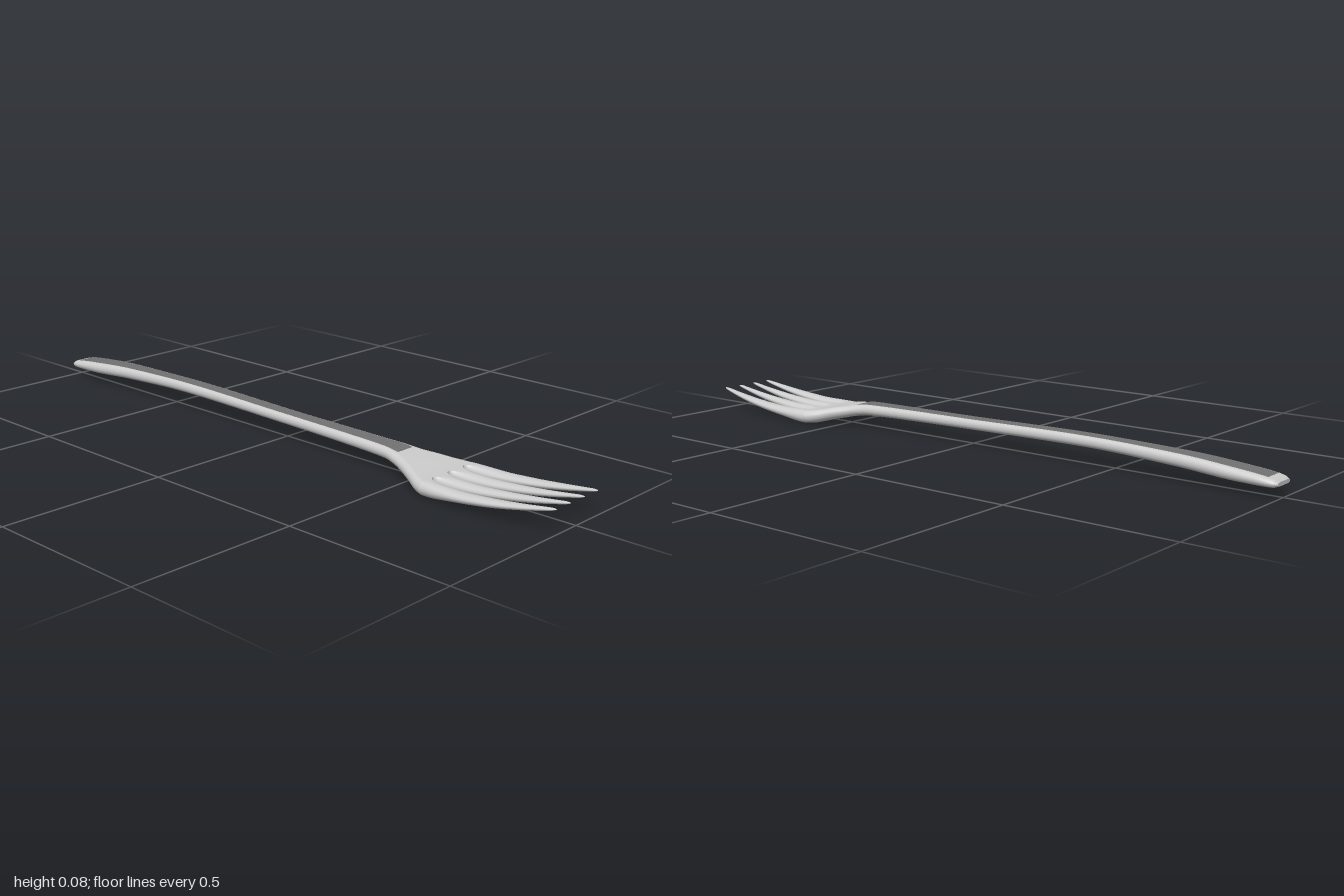
import * as THREE from 'three';

const metal = new THREE.MeshStandardMaterial({ color: 0xcccccc });
const dark = new THREE.MeshStandardMaterial({ color: 0x727272 });

// Smooth monotone interpolation through [z, value] pairs
function profile(pts) {
  const d = pts.slice(1).map((p, i) => (p[1] - pts[i][1]) / (p[0] - pts[i][0]));
  const m = pts.map((p, i) => {
    if (i === 0) return d[0];
    if (i === pts.length - 1) return d[i - 1];
    return d[i - 1] * d[i] <= 0 ? 0 : (2 * d[i - 1] * d[i]) / (d[i - 1] + d[i]);
  });
  return (z) => {
    let i = 0;
    while (i < pts.length - 2 && z > pts[i + 1][0]) i++;
    const h = pts[i + 1][0] - pts[i][0], t = (z - pts[i][0]) / h, s = 1 - t;
    return pts[i][1] * (1 + 2 * t) * s * s + m[i] * h * t * s * s
      + pts[i + 1][1] * t * t * (3 - 2 * t) - m[i + 1] * h * t * t * s;
  };
}

// Side profile: upper and lower surfaces
const topY = profile([[-1, 0.045], [-0.985, 0.052], [-0.9, 0.063], [-0.7, 0.077], [-0.4, 0.083],
  [0, 0.077], [0.4, 0.072], [0.5, 0.059], [0.6, 0.042], [0.7, 0.041], [0.8, 0.047], [0.9, 0.058], [1, 0.072]]);
const bottomY = profile([[-1, 0.034], [-0.985, 0.029], [-0.9, 0.03], [-0.7, 0.042], [-0.4, 0.052],
  [0, 0.047], [0.4, 0.039], [0.5, 0.021], [0.6, 0.001], [0.7, 0.011], [0.8, 0.024], [0.9, 0.042], [1, 0.065]]);
// Half width of handle and neck
const halfWidth = profile([[-1, 0.034], [-0.99, 0.041], [-0.96, 0.046], [-0.88, 0.046], [-0.7, 0.039],
  [-0.5, 0.033], [0, 0.032], [0.3, 0.037], [0.4, 0.042], [0.45, 0.053], [0.53, 0.088], [0.575, 0.112], [0.6, 0.121]]);
const sideRound = (z) => Math.min(0.38 * halfWidth(z), 0.022);

// Flat-topped section with elliptical sides, counter-clockwise
function section(x0, x1, r0, r1, y0, y1) {
  const n = 8, cy = (y0 + y1) / 2, h = (y1 - y0) / 2, ring = [];
  for (let s = 0; s < 2; s++) {
    for (let i = 0; i <= n; i++) {
      const a = -Math.PI / 2 + (i / n) * Math.PI + s * Math.PI;
      ring.push([(s ? x0 + r0 : x1 - r1) + (s ? r0 : r1) * Math.cos(a), cy + h * Math.sin(a)]);
    }
  }
  return ring;
}

// Skin a list of z stations with capped ends
function loft(name, zs, ringAt, material) {
  const pos = [], idx = [], rings = zs.map(ringAt), n = rings[0].length;
  rings.forEach((ring, i) => ring.forEach(([x, y]) => pos.push(x, y, zs[i])));
  for (let i = 0; i < zs.length - 1; i++) {
    for (let j = 0; j < n; j++) {
      const k = (j + 1) % n, a = i * n + j, b = i * n + k;
      idx.push(a, b, b + n, a, b + n, a + n);
    }
  }
  for (const e of [0, zs.length - 1]) {
    const base = pos.length / 3;
    rings[e].forEach(([x, y]) => pos.push(x, y, zs[e]));
    for (let j = 1; j < n - 1; j++) {
      if (e) idx.push(base, base + j, base + j + 1);
      else idx.push(base, base + j + 1, base + j);
    }
  }
  const geo = new THREE.BufferGeometry();
  geo.setAttribute('position', new THREE.Float32BufferAttribute(pos, 3));
  geo.setIndex(idx);
  geo.computeVertexNormals();
  const mesh = new THREE.Mesh(geo, material);
  mesh.name = name;
  return mesh;
}

const stations = (a, b, n) => Array.from({ length: n + 1 }, (_, i) => a + ((b - a) * i) / n);

export function createModel() {
  const fork = new THREE.Group();
  fork.name = 'fork';

  // Handle flowing into the neck
  const bodyZ = [-1, -0.997, -0.993, -0.988, -0.98, ...stations(-0.97, 0.45, 71), ...stations(0.46, 0.6, 14)];
  fork.add(loft('handleAndNeck', bodyZ, (z) => {
    const w = halfWidth(z), r = sideRound(z);
    return section(-w, w, r, r, bottomY(z), topY(z));
  }, metal));

  // Dark inlays on the upper and lower flats of the handle
  for (const [name, surface] of [['upperInlay', topY], ['lowerInlay', bottomY]]) {
    fork.add(loft(name, stations(-0.97, 0.45, 71), (z) => {
      const w = Math.min(halfWidth(z) - sideRound(z), 0.03), y = surface(z);
      return section(-w, w, 0.0003, 0.0003, y - 0.0008, y + 0.0008);
    }, dark));
  }

  // Tines: inner and outer edges, with rounded slots at the roots
  const tines = [
    { name: 'innerTine',
      near: [[0.6, 0], [0.602, 0.003], [0.607, 0.006], [0.62, 0.0085], [0.7, 0.011], [0.85, 0.017], [1, 0.026]],
      far: [[0.6, 0.066], [0.602, 0.063], [0.607, 0.06], [0.62, 0.0575], [0.7, 0.055], [0.85, 0.047], [1, 0.036]] },
    { name: 'outerTine',
      near: [[0.6, 0.066], [0.602, 0.069], [0.607, 0.072], [0.62, 0.0745], [0.7, 0.077], [0.85, 0.081], [1, 0.086]],
      far: [[0.6, 0.121], [0.65, 0.124], [0.75, 0.122], [0.85, 0.116], [0.95, 0.104], [1, 0.096]] },
  ];
  const slotRound = profile([[0.6, 0.002], [0.61, 0.008], [0.64, 0.018], [0.7, 0.022], [1, 0.022]]);
  const tineZ = [0.6, 0.601, 0.602, 0.604, 0.607, 0.612, ...stations(0.62, 0.98, 24), 0.987, 0.993, 0.997, 1];
  for (const { name, near, far } of tines) {
    const nearX = profile(near), farX = profile(far);
    for (const side of [1, -1]) {
      fork.add(loft((side > 0 ? 'left ' : 'right ') + name, tineZ, (z) => {
        // Round off the last stretch of the tip
        const tip = z > 0.98 ? Math.sqrt(Math.max(0.06, 1 - ((z - 0.98) / 0.02) ** 2)) : 1;
        const cx = (nearX(z) + farX(z)) / 2, w = ((farX(z) - nearX(z)) / 2) * tip;
        const cy = (topY(z) + bottomY(z)) / 2, h = ((topY(z) - bottomY(z)) / 2) * tip;
        const rn = Math.min(slotRound(z), 0.9 * w);
        const rf = Math.min(name === 'outerTine' ? 0.022 : slotRound(z), 0.9 * w);
        return side > 0
          ? section(cx - w, cx + w, rn, rf, cy - h, cy + h)
          : section(-cx - w, -cx + w, rf, rn, cy - h, cy + h);
      }, metal));
    }
  }
  return fork;
}
